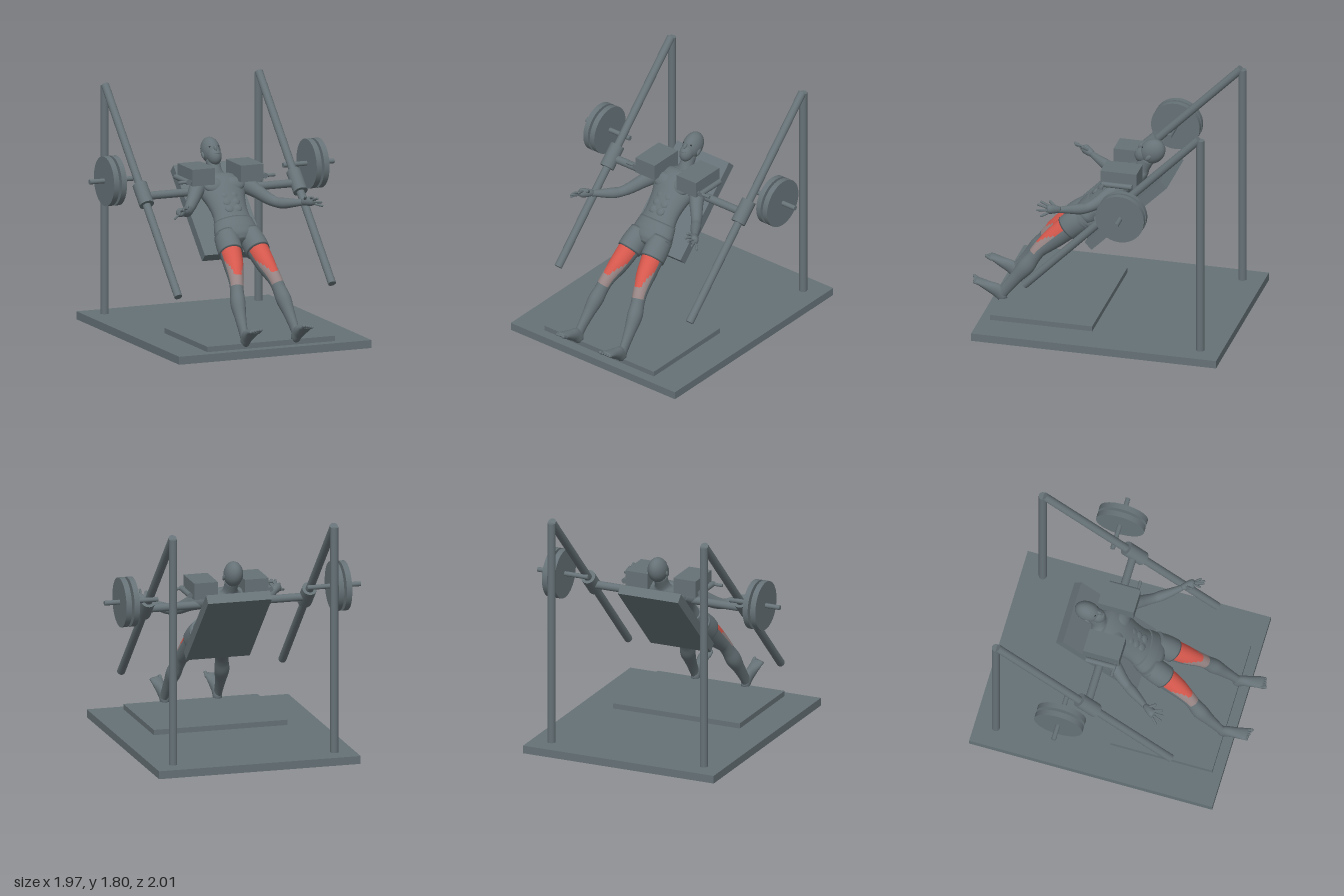
import * as THREE from 'three';

const mat = (name, color) => {
  const m = new THREE.MeshStandardMaterial({ color });
  m.name = name;
  return m;
};

export function createModel() {
  const grey = mat('slate grey', 0x667277);
  const red = mat('muscle red', 0xd6584d);
  const pink = mat('tendon pink', 0x988685);
  const dark = mat('dark eye', 0x33393c);
  const model = new THREE.Group();
  model.name = 'calfMachineWithFigure';
  const V = (x, y, z) => new THREE.Vector3(x, y, z);

  const add = (parent, name, geometry, material = grey) => {
    const mesh = new THREE.Mesh(geometry, material);
    mesh.name = name;
    parent.add(mesh);
    return mesh;
  };
  const box = (parent, name, w, h, d, x, y, z) => {
    const m = add(parent, name, new THREE.BoxGeometry(w, h, d));
    m.position.set(x, y, z);
    return m;
  };
  // Straight cylinder between two points
  const rod = (parent, name, a, b, r, sides = 24) => {
    const d = b.clone().sub(a);
    const m = add(parent, name, new THREE.CylinderGeometry(r, r, d.length(), sides));
    m.position.copy(a).add(b).multiplyScalar(0.5);
    m.quaternion.setFromUnitVectors(V(0, 1, 0), d.normalize());
    return m;
  };
  const ball = (parent, name, x, y, z, rx, ry, rz, material = grey) => {
    const m = add(parent, name, new THREE.SphereGeometry(1, 24, 16), material);
    m.position.set(x, y, z);
    m.scale.set(rx, ry, rz);
    return m;
  };
  // Rounded finger or toe
  const digit = (parent, name, a, b, r) => {
    const d = b.clone().sub(a);
    const m = add(parent, name, new THREE.CapsuleGeometry(r, d.length(), 5, 10));
    m.position.copy(a).add(b).multiplyScalar(0.5);
    m.quaternion.setFromUnitVectors(V(0, 1, 0), d.normalize());
  };

  // Smooth body through sections [x, y, z, halfWidth, halfDepth];
  // paint(centre, angle) picks a material index per face
  const loft = (parent, name, sections, rows = 24, material = grey, paint = () => 0) => {
    const n = 32, pos = [], faces = [[], [], []];
    const path = new THREE.CatmullRomCurve3(sections.map(s => V(s[0], s[1], s[2])), false, 'catmullrom', 0.5);
    const size = new THREE.CatmullRomCurve3(sections.map(s => V(s[3], s[4], 0)), false, 'catmullrom', 0.5);
    for (let i = 0; i <= rows; i++) {
      const c = path.getPoint(i / rows), r = size.getPoint(i / rows), t = path.getTangent(i / rows);
      const across = V(1, 0, 0).addScaledVector(t, -t.x).normalize();
      const out = t.clone().cross(across);
      for (let j = 0; j < n; j++) {
        const a = j / n * Math.PI * 2;
        const p = c.clone().addScaledVector(out, r.y * Math.cos(a)).addScaledVector(across, r.x * Math.sin(a));
        pos.push(p.x, p.y, p.z);
        if (i === rows) continue;
        const k = (j + 1) % n, p0 = i * n + j, p1 = i * n + k;
        const angle = Math.abs((j + 0.5) / n * 2 - (j < n / 2 ? 0 : 2)) * Math.PI;
        faces[paint(c, angle)].push(p0, p0 + n, p1, p0 + n, p1 + n, p1);
      }
    }
    const first = path.getPoint(0), last = path.getPoint(1), base = pos.length / 3;
    pos.push(first.x, first.y, first.z, last.x, last.y, last.z);
    for (let j = 0; j < n; j++) {
      const k = (j + 1) % n;
      faces[0].push(base, j, k, base + 1, rows * n + k, rows * n + j);
    }
    const g = new THREE.BufferGeometry();
    g.setAttribute('position', new THREE.Float32BufferAttribute(pos, 3));
    g.setIndex(faces.flat());
    let start = 0;
    faces.forEach((f, i) => {
      if (f.length && Array.isArray(material)) g.addGroup(start, f.length, i);
      start += f.length;
    });
    g.computeVertexNormals();
    return add(parent, name, g, material);
  };

  // Floor plates and back pad
  box(model, 'basePlate', 1.55, 0.06, 1.865, 0, 0.03, -0.0675);
  box(model, 'footMat', 1.03, 0.04, 0.78, 0, 0.08, 0.4);
  box(model, 'backPad', 0.49, 0.81, 0.075, 0, 0.905, -0.175).rotation.x = -Math.PI / 4;

  // Figure lying back: local y runs to the head, local z out of the chest
  const figure = new THREE.Group();
  figure.name = 'figure';
  figure.rotation.x = -Math.PI / 4;
  model.add(figure);

  loft(figure, 'torso', [
    [0, 0.4, 0.68, 0.11, 0.08], [0, 0.46, 0.675, 0.155, 0.092], [0, 0.53, 0.68, 0.148, 0.09],
    [0, 0.62, 0.685, 0.138, 0.09], [0, 0.72, 0.685, 0.15, 0.095], [0, 0.82, 0.68, 0.18, 0.102],
    [0, 0.89, 0.67, 0.19, 0.095], [0, 0.94, 0.66, 0.165, 0.078], [0, 0.975, 0.66, 0.1, 0.062],
    [0, 1.01, 0.675, 0.056, 0.055], [0, 1.1, 0.705, 0.05, 0.055]], 44);
  loft(figure, 'shortsPelvis', [
    [0, 0.35, 0.685, 0.05, 0.06], [0, 0.39, 0.68, 0.13, 0.09], [0, 0.45, 0.675, 0.168, 0.102],
    [0, 0.5, 0.678, 0.162, 0.101], [0, 0.55, 0.682, 0.151, 0.097]], 16);

  // Head and face
  ball(figure, 'skull', 0, 1.165, 0.72, 0.07, 0.105, 0.09);
  ball(figure, 'jaw', 0, 1.095, 0.748, 0.052, 0.07, 0.062);
  ball(figure, 'nose', 0, 1.125, 0.806, 0.012, 0.024, 0.017);
  ball(figure, 'lips', 0, 1.08, 0.803, 0.022, 0.009, 0.009);

  for (const s of [-1, 1]) {
    const side = s > 0 ? 'left' : 'right';
    const P = (x, y, z) => V(s * x, y, z);
    const flip = list => list.map(([x, ...rest]) => [s * x, ...rest]);

    // Upright, slanted rail, sliding sleeve and cross bar
    rod(model, side + 'Upright', P(0.62, 0.06, -0.84), P(0.62, 1.775, -0.84), 0.03);
    rod(model, side + 'Rail', P(0.62, 1.78, -0.83), P(0.62, 0.43, 0.5), 0.03);
    rod(model, side + 'Sleeve', P(0.62, 1.145, -0.2), P(0.62, 1.017, -0.072), 0.055);
    rod(model, side + 'CrossBar', P(0.2, 1.07, -0.14), P(0.6, 1.07, -0.14), 0.03);

    // Weight bar with two plates
    rod(model, side + 'WeightBar', P(0.575, 1.178, -0.292), P(0.985, 1.178, -0.292), 0.018);
    rod(model, side + 'InnerWeight', P(0.765, 1.175, -0.29), P(0.806, 1.175, -0.29), 0.185, 48);
    rod(model, side + 'OuterWeight', P(0.826, 1.175, -0.29), P(0.868, 1.175, -0.29), 0.185, 48);

    // Shoulder pad and grip
    box(model, side + 'ShoulderPad', 0.182, 0.125, 0.275, s * 0.195, 1.205, -0.13);
    rod(model, side + 'GripArm', P(0.31, 1.172, -0.24), P(0.31, 1.172, -0.01), 0.02);
    rod(model, side + 'Grip', P(0.26, 1.172, -0.022), P(0.39, 1.172, -0.022), 0.012);

    // Facial and chest details
    ball(figure, side + 'Eye', s * 0.028, 1.148, 0.794, 0.014, 0.007, 0.006, dark);
    ball(figure, side + 'Ear', s * 0.069, 1.135, 0.712, 0.009, 0.028, 0.017);
    ball(figure, side + 'Pectoral', s * 0.078, 0.84, 0.745, 0.085, 0.062, 0.038);
    for (let i = 0; i < 3; i++)
      ball(figure, side + 'Abdominal', s * 0.032, 0.61 + i * 0.06, 0.765, 0.034, 0.032, 0.016);
    ball(figure, side + 'Buttock', s * 0.075, 0.43, 0.63, 0.08, 0.085, 0.065);

    // Leg with highlighted thigh front
    loft(figure, side + 'Leg', flip([
      [0.1, 0.42, 0.68, 0.085, 0.085], [0.107, 0.3, 0.695, 0.082, 0.088], [0.126, 0.15, 0.706, 0.071, 0.08],
      [0.145, 0.05, 0.712, 0.058, 0.066], [0.157, -0.01, 0.712, 0.052, 0.056], [0.17, -0.08, 0.7, 0.05, 0.054],
      [0.185, -0.17, 0.683, 0.055, 0.063], [0.196, -0.28, 0.67, 0.042, 0.049], [0.205, -0.4, 0.655, 0.031, 0.043],
      [0.207, -0.47, 0.645, 0.031, 0.042]]), 72, [grey, red, pink], (c, angle) => {
      if (c.y > 0.3 || c.y < -0.04 || angle > 1.45) return 0;
      return c.y > 0.03 && angle < 0.45 + (c.y - 0.03) * 5.5 ? 1 : 2;
    });
    loft(figure, side + 'ShortsLeg', flip([
      [0.096, 0.44, 0.68, 0.08, 0.09], [0.099, 0.38, 0.686, 0.089, 0.096],
      [0.105, 0.32, 0.693, 0.091, 0.098], [0.109, 0.265, 0.697, 0.09, 0.097]]), 12);

    // Foot and toes
    loft(figure, side + 'Foot', flip([
      [0.203, -0.47, 0.595, 0.018, 0.02], [0.203, -0.47, 0.62, 0.033, 0.041], [0.206, -0.465, 0.68, 0.036, 0.051],
      [0.208, -0.492, 0.75, 0.04, 0.038], [0.211, -0.516, 0.815, 0.046, 0.023],
      [0.211, -0.53, 0.85, 0.042, 0.014]]), 20);
    for (let i = 0; i < 5; i++) {
      const x = 0.175 + i * 0.0185;
      digit(figure, side + 'Toe', P(x, -0.528, 0.83), P(x, -0.536, 0.87 - i * 0.006), i ? 0.009 : 0.013);
    }

    // Arm, palm and spread fingers
    loft(model, side + 'Arm', flip([
      [0.15, 1.12, -0.16, 0.045, 0.055], [0.2, 1.095, -0.11, 0.06, 0.066], [0.26, 1.05, -0.03, 0.05, 0.052],
      [0.31, 1.01, 0.03, 0.043, 0.045], [0.355, 0.987, 0.09, 0.037, 0.038], [0.39, 0.987, 0.14, 0.039, 0.04],
      [0.44, 0.998, 0.21, 0.03, 0.031], [0.49, 1.01, 0.275, 0.02, 0.022]]), 36);
    loft(model, side + 'Palm', flip([
      [0.483, 1.01, 0.265, 0.02, 0.022], [0.505, 1.02, 0.3, 0.03, 0.032],
      [0.53, 1.027, 0.335, 0.033, 0.034], [0.54, 1.03, 0.352, 0.022, 0.022]]), 12);
    const tips = [[0.505, 1.068, 0.4], [0.54, 1.06, 0.415], [0.57, 1.03, 0.412], [0.592, 0.995, 0.38]];
    tips.forEach(([x, y, z], i) =>
      digit(model, side + 'Finger', P(0.518 + i * 0.01, 1.048 - i * 0.014, 0.335), P(x, y, z), 0.009));
    digit(model, side + 'Thumb', P(0.495, 1.03, 0.29), P(0.475, 1.065, 0.34), 0.011);
  }
  return model;
}
